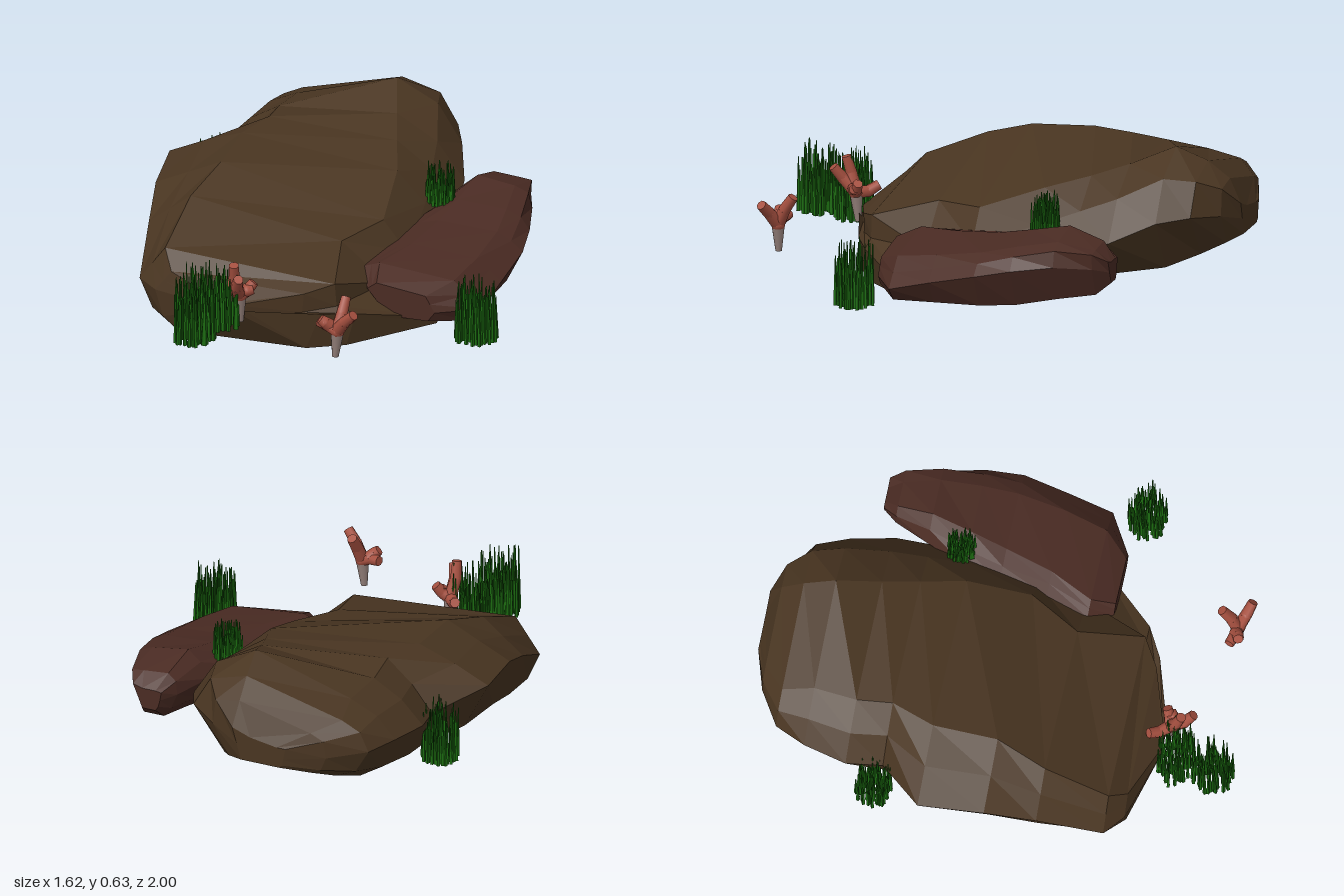
import * as THREE from 'three';
import { mergeGeometries } from 'three/addons/utils/BufferGeometryUtils.js';

function material(name, color) {
  const m = new THREE.MeshStandardMaterial({ color });
  m.name = name;
  return m;
}

function randomFrom(seed) {
  return () => {
    seed = (seed * 16807) % 2147483647;
    return seed / 2147483647;
  };
}

// Faceted boulder lofted along z. Each row:
// z, left x y, top-left x y, top-right x y, right x y, bottom y, bottom-left x, bottom-right x
function boulder(rows, hollow) {
  const rings = rows.map(([z, lx, ly, tlx, tly, trx, try_, rx, ry, by, blx, brx]) => {
    const bulge = Math.max(0, -z) * 0.05; // shoulders are rounder toward the back
    const right = bulge - Math.max(0, z) * hollow; // and hollow on the right toward the front
    const under = (rx - lx) * 0.03;
    return [
      [blx, by], [brx, by], [rx, ry],
      [(rx + trx) / 2 + right, (ry + try_) / 2 + right],
      [trx, try_], [tlx, tly],
      [(lx + tlx) / 2 - bulge * 0.5, (ly + tly) / 2 + bulge * 0.5],
      [lx, ly],
      [lx * 0.45 + blx * 0.55 - under, ly * 0.45 + by * 0.55 - under],
    ].map(([x, y]) => [x, y, z]);
  });
  const pos = [];
  const tri = (a, b, c) => pos.push(...a, ...b, ...c);
  const n = rings[0].length;
  for (let i = 0; i < rings.length - 1; i++) {
    for (let j = 0; j < n; j++) {
      const k = (j + 1) % n;
      const a = rings[i][j], b = rings[i][k], c = rings[i + 1][k], d = rings[i + 1][j];
      tri(a, b, c);
      tri(a, c, d);
    }
  }
  const back = rings[0], front = rings[rings.length - 1];
  for (let j = 1; j < n - 1; j++) {
    tri(front[0], front[j], front[j + 1]);
    tri(back[0], back[j + 1], back[j]);
  }
  const g = new THREE.BufferGeometry();
  g.setAttribute('position', new THREE.Float32BufferAttribute(pos, 3));
  g.computeVertexNormals();
  return g;
}

// Tuft of thin upright blades, spread evenly on a spiral
function tuft(x, y, z, rx, rz, height, count, seed) {
  const rnd = randomFrom(seed);
  const blades = [];
  for (let i = 0; i < count; i++) {
    const a = i * 2.4 + rnd() * 0.5, r = Math.sqrt((i + rnd()) / count);
    const h = height * (0.55 + 0.45 * rnd());
    const b = new THREE.CylinderGeometry(0.002, 0.0085, h, 4, 1).toNonIndexed();
    b.translate(0, h / 2, 0);
    b.rotateY(rnd() * 3);
    b.rotateZ((rnd() - 0.5) * 0.06);
    b.translate(x + Math.cos(a) * r * rx, y, z + Math.sin(a) * r * rz);
    b.computeVertexNormals();
    blades.push(b);
  }
  return mergeGeometries(blades);
}

// Tapered limb between two points
function limb(from, to, r0, r1) {
  const a = new THREE.Vector3(...from), b = new THREE.Vector3(...to);
  const dir = b.clone().sub(a);
  const g = new THREE.CylinderGeometry(r1, r0, dir.length(), 8);
  g.applyQuaternion(new THREE.Quaternion().setFromUnitVectors(new THREE.Vector3(0, 1, 0), dir.normalize()));
  const mid = a.add(b).multiplyScalar(0.5);
  return g.translate(mid.x, mid.y, mid.z);
}

function joint(p, r) {
  return new THREE.SphereGeometry(r, 8, 6).translate(...p);
}

export function createModel() {
  const model = new THREE.Group();
  model.name = 'reefRocks';
  const brown = material('brown rock', 0x493521);
  const redBrown = material('red brown rock', 0x4a2b23);
  const green = material('grass green', 0x1b6a10);
  const red = material('coral red', 0xa65040);
  const grey = material('coral base grey', 0x94807a);
  const add = (name, geometry, mat, parent = model) => {
    const mesh = new THREE.Mesh(geometry, mat);
    mesh.name = name;
    parent.add(mesh);
  };

  // Large rock, highest at the back, with a notch on one side and a low shelf at the front
  add('largeRock', boulder([
    [-1.00, -0.25, 0.31, -0.22, 0.36, -0.10, 0.38, -0.04, 0.34, 0.27, -0.23, -0.06],
    [-0.95, -0.42, 0.33, -0.35, 0.43, -0.03, 0.51, 0.09, 0.38, 0.25, -0.35, 0.02],
    [-0.86, -0.57, 0.35, -0.45, 0.47, -0.02, 0.58, 0.22, 0.40, 0.21, -0.42, 0.08],
    [-0.73, -0.63, 0.36, -0.43, 0.505, 0.00, 0.635, 0.28, 0.38, 0.16, -0.47, 0.15],
    [-0.55, -0.67, 0.35, -0.45, 0.52, 0.06, 0.56, 0.35, 0.30, 0.14, -0.50, 0.22],
    [-0.40, -0.64, 0.33, -0.44, 0.54, 0.11, 0.51, 0.37, 0.25, 0.12, -0.52, 0.29],
    [-0.22, -0.81, 0.41, -0.50, 0.535, 0.17, 0.46, 0.39, 0.18, 0.10, -0.55, 0.35],
    [0.05, -0.78, 0.39, -0.50, 0.52, 0.20, 0.36, 0.41, 0.11, 0.07, -0.58, 0.40],
    [0.26, -0.74, 0.31, -0.56, 0.45, 0.09, 0.34, 0.51, 0.06, 0.03, -0.56, 0.50],
    [0.53, -0.69, 0.18, -0.58, 0.33, 0.15, 0.27, 0.24, 0.15, 0.005, -0.54, 0.20],
    [0.60, -0.60, 0.17, -0.53, 0.26, 0.04, 0.24, 0.11, 0.16, 0.00, -0.50, 0.05],
    [0.69, -0.30, 0.17, -0.28, 0.19, -0.23, 0.19, -0.18, 0.17, 0.15, -0.29, -0.20],
  ], 0.07), brown);

  // Smaller rock leaning on the large one
  add('smallRock', boulder([
    [-0.63, 0.48, 0.25, 0.50, 0.29, 0.56, 0.29, 0.58, 0.25, 0.20, 0.50, 0.56],
    [-0.57, 0.43, 0.26, 0.47, 0.35, 0.58, 0.34, 0.63, 0.27, 0.15, 0.49, 0.58],
    [-0.42, 0.36, 0.28, 0.45, 0.395, 0.61, 0.37, 0.685, 0.28, 0.13, 0.46, 0.62],
    [-0.25, 0.29, 0.28, 0.42, 0.355, 0.63, 0.34, 0.73, 0.26, 0.10, 0.43, 0.66],
    [-0.10, 0.25, 0.28, 0.39, 0.32, 0.64, 0.305, 0.75, 0.23, 0.09, 0.40, 0.68],
    [0.10, 0.24, 0.27, 0.34, 0.295, 0.62, 0.27, 0.725, 0.18, 0.08, 0.38, 0.66],
    [0.28, 0.19, 0.25, 0.26, 0.275, 0.58, 0.24, 0.70, 0.13, 0.07, 0.36, 0.64],
    [0.38, 0.24, 0.20, 0.28, 0.23, 0.49, 0.20, 0.53, 0.13, 0.09, 0.36, 0.50],
  ], 0), redBrown);

  // Grass tufts
  [
    [-0.30, 0.12, 0.75, 0.115, 0.075, 0.28, 75],
    [-0.33, 0.12, 0.91, 0.085, 0.09, 0.29, 75],
    [0.72, 0.06, 0.42, 0.09, 0.08, 0.28, 75],
    [0.34, 0.32, -0.28, 0.062, 0.06, 0.17, 60],
    [-0.69, 0.15, -0.43, 0.075, 0.075, 0.27, 70],
  ].forEach((t, i) => add('grassTuft' + (i + 1), tuft(...t, 4321 + i * 977), green));

  // Branching corals: pale foot, then limbs with bends and side twigs
  const coral = (name, foot, fork, limbs) => {
    const group = new THREE.Group();
    group.name = name;
    model.add(group);
    add('coralFoot', limb(foot, fork, 0.014, 0.029), grey, group);
    const parts = [joint(fork, 0.031)];
    for (const [start, elbow, tip] of limbs) {
      parts.push(limb(start, elbow, 0.028, 0.025), joint(elbow, 0.025), limb(elbow, tip, 0.025, 0.021));
    }
    add('coralLimbs', mergeGeometries(parts), red, group);
  };
  const f1 = [0.28, 0.235, 0.89];
  coral('frontCoral', [0.272, 0.12, 0.89], f1, [
    [f1, [0.24, 0.25, 0.885], [0.195, 0.255, 0.87]],
    [[0.25, 0.25, 0.885], [0.23, 0.27, 0.90], [0.212, 0.285, 0.905]],
    [f1, [0.29, 0.30, 0.86], [0.295, 0.36, 0.82]],
    [f1, [0.32, 0.29, 0.915], [0.365, 0.335, 0.935]],
  ]);
  const f2 = [-0.2, 0.25, 0.71];
  coral('rockCoral', [-0.2, 0.13, 0.70], f2, [
    [f2, [-0.215, 0.33, 0.735], [-0.21, 0.40, 0.755]],
    [f2, [-0.195, 0.31, 0.765], [-0.175, 0.36, 0.80]],
    [f2, [-0.235, 0.25, 0.67], [-0.26, 0.275, 0.63]],
    [f2, [-0.17, 0.27, 0.70], [-0.147, 0.305, 0.685]],
    [[-0.18, 0.27, 0.70], [-0.165, 0.275, 0.71], [-0.145, 0.28, 0.70]],
  ]);
  return model;
}
